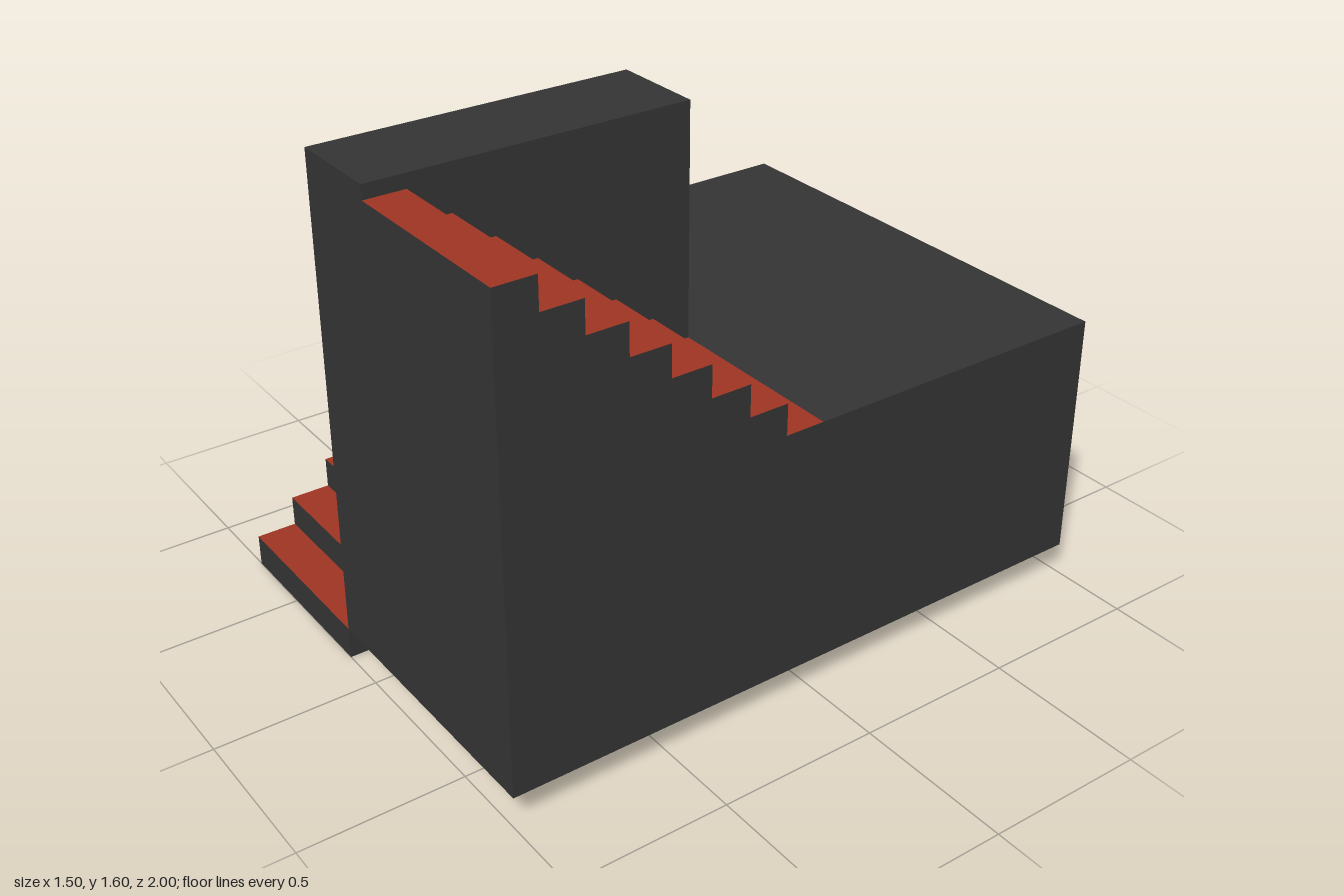
import * as THREE from 'three';

const STEPS = 8, BASE = 0.1, LANDING = 0.877, RISE = (LANDING - BASE) / STEPS;
const WIDTH = 1.5, WALL = 0.3, FLIGHT = (WIDTH - WALL) / 2;

export function createModel() {
  const dark = new THREE.MeshStandardMaterial({ color: 0x353535 });
  dark.name = 'charcoal';
  const red = new THREE.MeshStandardMaterial({ color: 0xa03523 });
  red.name = 'tread red';
  const group = new THREE.Group();
  group.name = 'staircase';

  function box(name, w, y0, y1, z0, z1) {
    const mesh = new THREE.Mesh(new THREE.BoxGeometry(w, y1 - y0, z1 - z0), dark);
    mesh.position.set(0, (y0 + y1) / 2, (z0 + z1) / 2);
    mesh.name = name;
    group.add(mesh);
  }

  // Solid flight from a stepped side profile; upward faces become red treads
  function flight(name, xMax, topOf, foot) {
    const pts = [[0, BASE]];
    for (let i = 0; i < STEPS; i++) {
      pts.push([i / STEPS, topOf(i)], [(i + 1) / STEPS, topOf(i)]);
    }
    pts.push(...foot);
    const shape = new THREE.Shape(pts.map(([z, y]) => new THREE.Vector2(z, y)));
    const geo = new THREE.ExtrudeGeometry(shape, { depth: FLIGHT, bevelEnabled: false });
    geo.rotateY(-Math.PI / 2).translate(xMax, 0, 0);
    geo.clearGroups();
    const normal = geo.attributes.normal;
    for (let i = 0; i < normal.count; i += 3) {
      geo.addGroup(i, 3, normal.getY(i) > 0.5 ? 1 : 0);
    }
    const mesh = new THREE.Mesh(geo, [dark, red]);
    mesh.name = name;
    group.add(mesh);
  }

  box('landing', WIDTH, BASE, LANDING, -1, 0);
  box('dividingWall', WALL, BASE, 1.6, 0, 1);

  // Lower flight descends to the front, its first step sitting below the base
  const edge = 1 - 1 / STEPS;
  flight('lowerFlight', -WALL / 2, i => BASE + (STEPS - 1 - i) * RISE,
    [[1, 0], [edge, 0], [edge, BASE]]);
  // Upper flight climbs from the landing to the front
  flight('upperFlight', WIDTH / 2, i => LANDING + i * RISE, [[1, BASE]]);

  return group;
}
